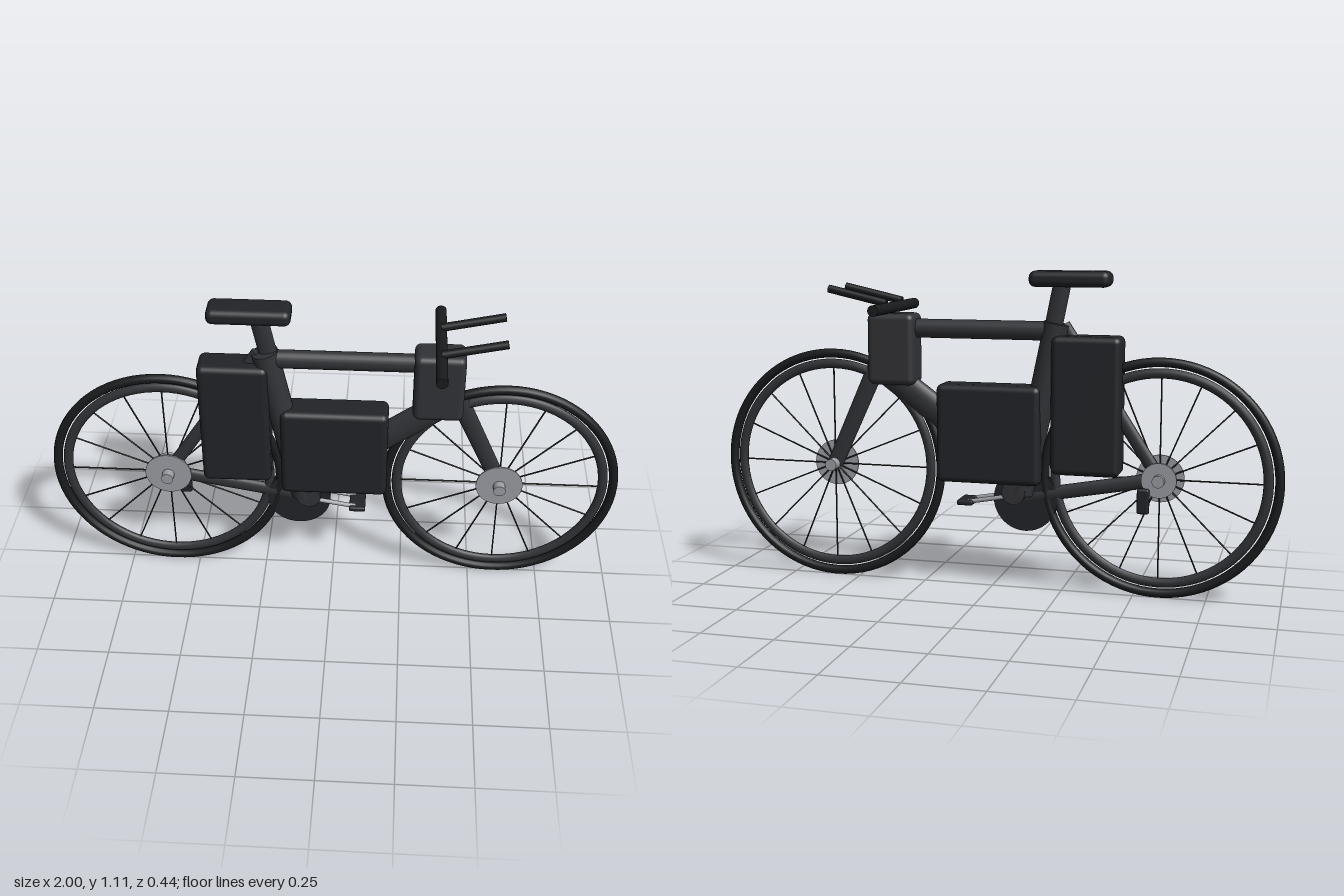
import * as THREE from 'three';
import { RoundedBoxGeometry } from 'three/addons/geometries/RoundedBoxGeometry.js';

const material = (color) => new THREE.MeshStandardMaterial({ color });
const frameMat = material(0x323337);
const boxMat = material(0x222428);
const rubberMat = material(0x191b1d);
const spokeMat = material(0x2a2b2e);
const metalMat = material(0x9c9ea4);

const WHEEL_X = 0.586, WHEEL_Y = 0.414;

export function createModel() {
  const model = new THREE.Group();
  model.name = 'cargoBicycle';

  function add(name, geometry, mat, x = 0, y = 0, z = 0, parent = model) {
    const mesh = new THREE.Mesh(geometry, mat);
    mesh.name = name;
    mesh.position.set(x, y, z);
    parent.add(mesh);
    return mesh;
  }

  // Oval tube between two points of the bicycle's plane; rz is its half width in z
  function tube(name, [ax, ay], [bx, by], r, rz, mat = frameMat, z = 0, rTop = r) {
    const length = Math.hypot(bx - ax, by - ay);
    const geometry = new THREE.CylinderGeometry(rTop, r, length, 24);
    geometry.scale(1, 1, rz / r);
    geometry.rotateZ(Math.atan2(by - ay, bx - ax) - Math.PI / 2);
    return add(name, geometry, mat, (ax + bx) / 2, (ay + by) / 2, z);
  }

  // Disc or rod with its axis along z
  function disc(name, r, width, mat, x, y, z, parent = model) {
    const geometry = new THREE.CylinderGeometry(r, r, width, 40).rotateX(Math.PI / 2);
    return add(name, geometry, mat, x, y, z, parent);
  }

  // Rounded block given by its limits in x and y and its depth in z
  function block(name, [x0, x1], [y0, y1], depth, radius, mat) {
    const geometry = new RoundedBoxGeometry(x1 - x0, y1 - y0, depth, 4, radius);
    return add(name, geometry, mat, (x0 + x1) / 2, (y0 + y1) / 2);
  }

  // Wheels: tyre, rim, spokes, hub disc on the front side and axle
  for (const side of [-1, 1]) {
    const wheel = new THREE.Group();
    wheel.name = side < 0 ? 'rearWheel' : 'frontWheel';
    wheel.position.set(side * WHEEL_X, WHEEL_Y, 0);
    model.add(wheel);
    add('tyre', new THREE.TorusGeometry(0.398, 0.016, 14, 80), rubberMat, 0, 0, 0, wheel);
    const rim = new THREE.TorusGeometry(0.361, 0.017, 12, 80).scale(1, 1, 0.75);
    add('rim', rim, frameMat, 0, 0, 0, wheel);
    for (let i = 0; i < 16; i++) {
      const spoke = new THREE.CylinderGeometry(0.0028, 0.0028, 0.34, 6);
      spoke.translate(0, 0.18, 0).rotateZ((i * Math.PI) / 8);
      add('spoke', spoke, spokeMat, 0, 0, 0, wheel);
    }
    disc('hubDisc', 0.082, 0.006, metalMat, 0, 0, 0.016, wheel);
    disc('axle', 0.021, 0.1, metalMat, 0, 0, 0, wheel);
  }
  disc('rearCog', 0.06, 0.012, metalMat, -WHEEL_X, WHEEL_Y, -0.022);

  // Frame tubes
  tube('topTube', [-0.22, 0.908], [0.3, 0.908], 0.033, 0.028);
  tube('seatTube', [-0.105, 0.34], [-0.228, 0.935], 0.045, 0.045);
  tube('downTube', [-0.12, 0.385], [0.38, 0.75], 0.05, 0.028);
  tube('chainStay', [-WHEEL_X, WHEEL_Y], [-0.1, 0.325], 0.025, 0.015);
  tube('seatStay', [-WHEEL_X, WHEEL_Y], [-0.25, 0.93], 0.023, 0.015);
  tube('fork', [WHEEL_X, WHEEL_Y], [0.41, 0.8], 0.029, 0.015, frameMat, 0, 0.033);

  // Storage boxes and head box
  block('rearBox', [-0.455, -0.215], [0.42, 0.895], 0.115, 0.022, boxMat);
  block('centreBox', [-0.18, 0.19], [0.375, 0.72], 0.115, 0.022, boxMat);
  block('headBox', [0.27, 0.44], [0.71, 0.96], 0.115, 0.022, frameMat);

  // Saddle on its post
  tube('seatPost', [-0.21, 0.9], [-0.246, 1.08], 0.031, 0.018);
  block('saddle', [-0.412, -0.135], [1.058, 1.112], 0.104, 0.022, boxMat);

  // Handlebar with two forward grips
  tube('stem', [0.352, 0.94], [0.355, 0.985], 0.016, 0.016);
  disc('handlebar', 0.019, 0.44, rubberMat, 0.355, 0.98, 0);
  for (const side of [-1, 1]) {
    tube('grip', [0.355, 0.998], [0.565, 1.045], 0.014, 0.014, rubberMat, side * 0.082);
  }

  // Drive: chainring, bottom bracket, crank arms, pedal and derailleur
  disc('chainring', 0.113, 0.026, boxMat, -0.122, 0.322, 0);
  disc('bottomBracket', 0.042, 0.084, frameMat, -0.085, 0.348, 0);
  for (const side of [-1, 1]) {
    tube('crankArm', [-0.08, 0.335], [0.08, 0.306], 0.008, 0.008, metalMat, side * 0.03);
  }
  block('pedal', [0.06, 0.117], [0.295, 0.313], 0.1, 0.006, boxMat);
  const derailleur = block('derailleur', [-0.556, -0.514], [0.298, 0.385], 0.024, 0.008, boxMat);
  derailleur.position.z = -0.032;

  return model;
}
